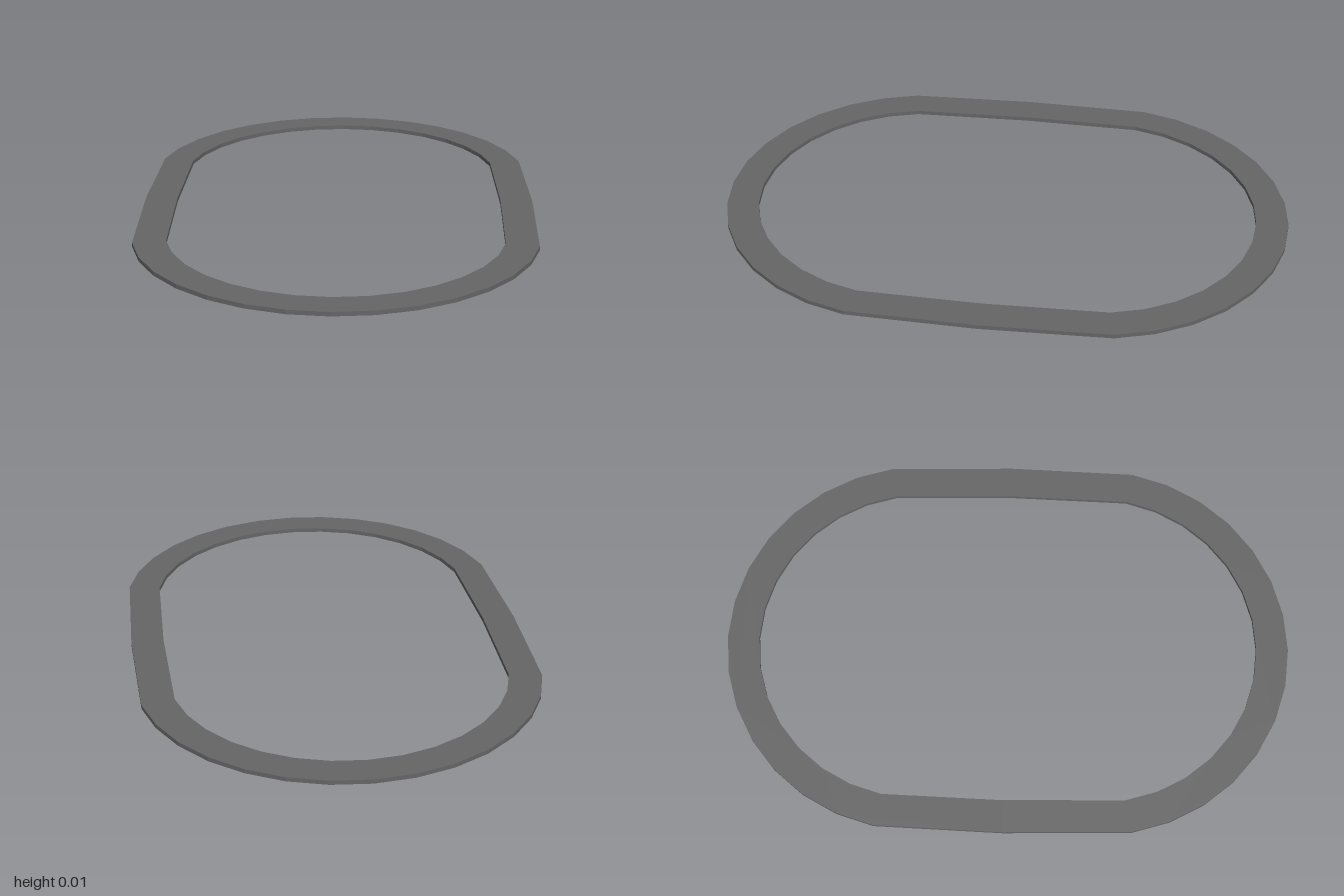
import * as THREE from 'three';

const SIDES = 32, THICKNESS = 0.015, END_OFFSET = 0.31;

// Stadium outline: a 32-sided circle whose two halves are pulled apart along its length
function outline(radius) {
  const points = [];
  for (let i = 0; i < SIDES; i++) {
    const a = (i / SIDES) * Math.PI * 2;
    const s = Math.sin(a);
    const shift = Math.abs(s) < 1e-6 ? 0 : Math.sign(s) * END_OFFSET;
    points.push(new THREE.Vector2(radius * Math.cos(a), radius * s + shift));
  }
  return points;
}

export function createModel() {
  const group = new THREE.Group();
  group.name = 'ovalRing';

  // Flat band with an open middle
  const shape = new THREE.Shape(outline(0.69));
  shape.holes.push(new THREE.Path(outline(0.577)));
  const geometry = new THREE.ExtrudeGeometry(shape, { depth: THICKNESS, bevelEnabled: false });
  geometry.rotateX(-Math.PI / 2);

  const band = new THREE.Mesh(
    geometry,
    new THREE.MeshStandardMaterial({ color: 0x666666, flatShading: true })
  );
  band.name = 'ovalBand';
  group.add(band);
  return group;
}
